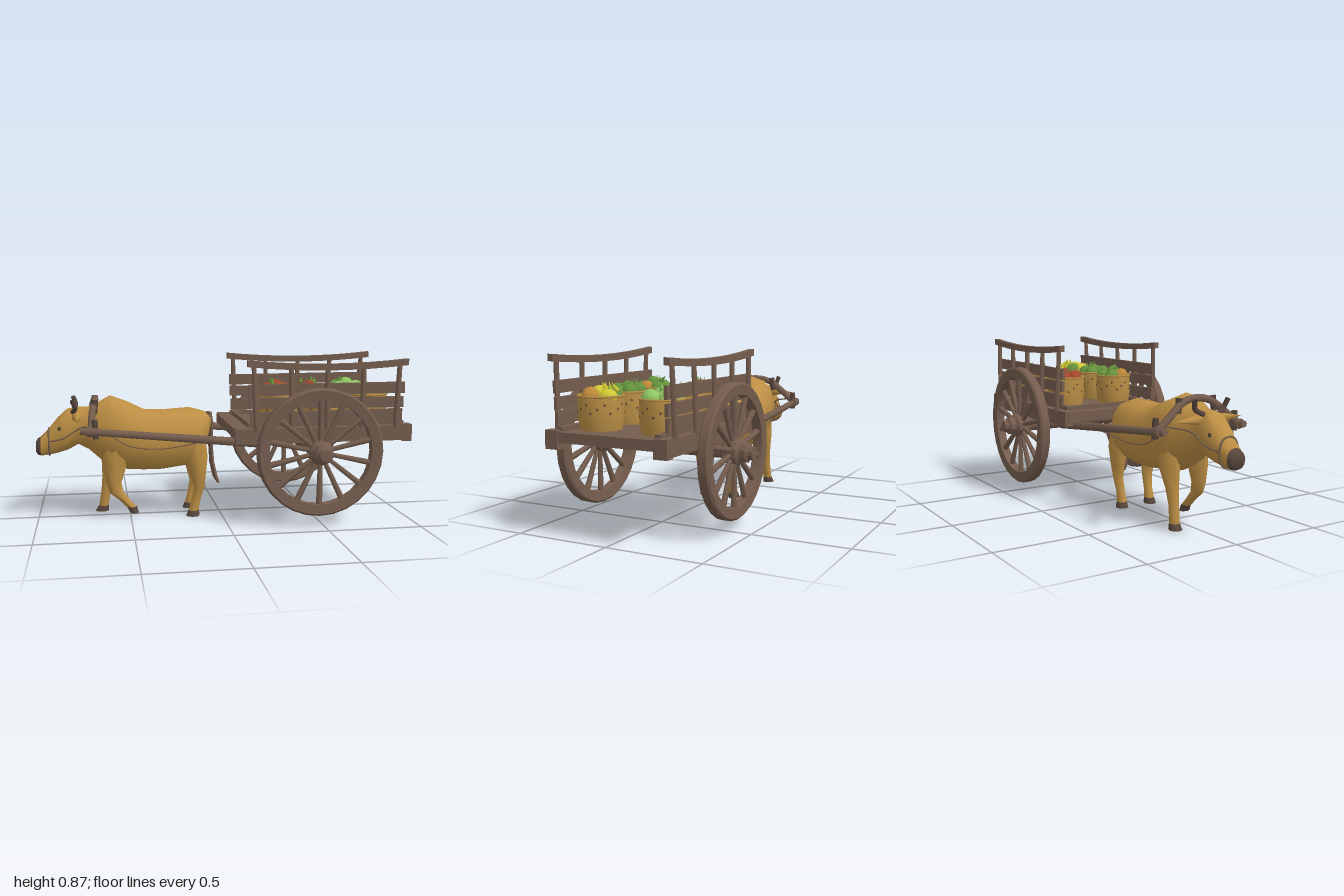
import * as THREE from 'three';
import { toCreasedNormals } from 'three/addons/utils/BufferGeometryUtils.js';

const V = (a) => new THREE.Vector3(...a);
const mat = (name, color) => {
  const m = new THREE.MeshStandardMaterial({ color, side: THREE.DoubleSide });
  m.name = name;
  return m;
};

export function createModel() {
  const wood = mat('wood', 0x755d4e), dark = mat('dark brown', 0x57463d), hide = mat('tan hide', 0xbd8f44);
  const wicker = mat('wicker', 0xb98e45), red = mat('red', 0xa2482f), green = mat('green', 0x66943d);
  const pale = mat('pale green', 0x92ca66), yellow = mat('yellow', 0xd3cb34), orange = mat('orange', 0xc08a3a);

  const model = new THREE.Group();
  const group = (name, parent = model) => {
    const g = new THREE.Group();
    g.name = name;
    parent.add(g);
    return g;
  };
  const add = (name, geo, material, parent, pos = [0, 0, 0]) => {
    const m = new THREE.Mesh(geo, material);
    m.name = name;
    m.position.set(...pos);
    parent.add(m);
    return m;
  };
  const box = (name, size, pos, parent) => add(name, new THREE.BoxGeometry(...size), wood, parent, pos);

  // Closed skin over a list of rings of points
  function loft(rings) {
    const n = rings[0].length, pos = [], idx = [];
    rings.forEach((r) => r.forEach((p) => pos.push(...p)));
    for (let i = 0; i < rings.length - 1; i++)
      for (let j = 0; j < n; j++) {
        const a = i * n + j, b = i * n + (j + 1) % n;
        idx.push(a, b, a + n, b, b + n, a + n);
      }
    [0, rings.length - 1].forEach((e, end) => {
      for (let j = 1; j < n - 1; j++) {
        const a = e * n, b = a + j, c = a + j + 1;
        idx.push(...(end ? [a, b, c] : [a, c, b]));
      }
    });
    // Turn all faces outward if the enclosed volume is negative
    const p = (k) => new THREE.Vector3().fromArray(pos, idx[k] * 3);
    let vol = 0;
    for (let k = 0; k < idx.length; k += 3) vol += p(k).dot(p(k + 1).cross(p(k + 2)));
    if (vol < 0) idx.reverse();
    const g = new THREE.BufferGeometry();
    g.setAttribute('position', new THREE.Float32BufferAttribute(pos, 3));
    g.setIndex(idx);
    return toCreasedNormals(g, 0.9);
  }
  const around = (n, f) => Array.from({ length: n }, (_, i) => f(Math.cos(i * 2 * Math.PI / n), Math.sin(i * 2 * Math.PI / n)));
  // Ring across x: [x, bottom, top, half width]; ring across y: [x, y, z, rx, rz]
  const ringX = ([x, lo, hi, w], s = 1) => around(12, (c, d) =>
    [x, (lo + hi) / 2 + d * s * (hi - lo) / 2, Math.sign(c) * Math.abs(c) ** 0.8 * w * s]);
  const ringY = ([x, y, z, rx, rz]) => around(8, (c, d) => [x + c * rx, y, z + d * rz]);
  const tube = (name, pts, r, material, parent, closed = false) =>
    add(name, new THREE.TubeGeometry(new THREE.CatmullRomCurve3(pts.map(V), closed), pts.length * 4, r, 7, closed), material, parent);
  // Straight pole between two points
  const pole = (name, a, b, r0, r1, material, parent, sides = 7) => {
    const d = V(b).sub(V(a));
    const m = add(name, new THREE.CylinderGeometry(r1, r0, d.length(), sides), material, parent);
    m.position.copy(V(a).addScaledVector(d, 0.5));
    m.quaternion.setFromUnitVectors(new THREE.Vector3(0, 1, 0), d.normalize());
  };

  // Ox: body, neck and head in one skin
  const ox = group('ox');
  const sections = [
    [-0.05, 0.48, 0.55, 0.035], [-0.08, 0.38, 0.57, 0.09], [-0.12, 0.30, 0.582, 0.135], [-0.17, 0.27, 0.595, 0.165],
    [-0.32, 0.25, 0.585, 0.167], [-0.42, 0.25, 0.59, 0.17], [-0.51, 0.255, 0.635, 0.165], [-0.60, 0.28, 0.668, 0.15],
    [-0.66, 0.32, 0.635, 0.125], [-0.72, 0.375, 0.61, 0.095], [-0.775, 0.405, 0.61, 0.07], [-0.83, 0.375, 0.60, 0.08],
    [-0.88, 0.36, 0.555, 0.072], [-0.93, 0.35, 0.495, 0.055], [-0.975, 0.345, 0.45, 0.05]];
  add('body', loft(sections.map((s) => ringX(s))), hide, ox);
  add('muzzle', loft([[-0.974, 0.345, 0.451, 0.05], [-0.99, 0.35, 0.44, 0.048], [-1, 0.365, 0.425, 0.035]].map((s) => ringX(s))), dark, ox);
  tube('noseBand', ringX(sections[13], 1.02), 0.005, wood, ox, true);
  for (const s of [1, -1]) {
    tube('horn', [[-0.80, 0.585, 0.045 * s], [-0.785, 0.61, 0.085 * s], [-0.80, 0.655, 0.10 * s]], 0.013, dark, ox);
    const ear = add('ear', new THREE.ConeGeometry(0.03, 0.16, 6), hide, ox, [-0.78, 0.56, 0.125 * s]);
    ear.rotation.x = s * Math.PI / 2;
    const eye = add('eye', new THREE.SphereGeometry(0.012, 8, 6), dark, ox, [-0.87, 0.50, 0.066 * s]);
    eye.scale.z = 0.5;
    tube('rein', [[-0.93, 0.43, 0.056 * s], [-0.85, 0.45, 0.081 * s], [-0.77, 0.50, 0.09 * s], [-0.70, 0.53, 0.20 * s]], 0.004, wood, ox);
    // Hind leg
    add('hindLeg', loft([[-0.15, 0.46, 0.095 * s, 0.06, 0.05], [-0.14, 0.33, 0.103 * s, 0.062, 0.05], [-0.13, 0.23, 0.10 * s, 0.042, 0.037],
      [-0.125, 0.16, 0.095 * s, 0.03, 0.027], [-0.145, 0.08, 0.09 * s, 0.025, 0.023], [-0.155, 0.03, 0.09 * s, 0.029, 0.027]].map(ringY)), hide, ox);
    add('hindHoof', loft([[-0.155, 0.031, 0.09 * s, 0.03, 0.028], [-0.16, 0, 0.092 * s, 0.037, 0.034]].map(ringY)), dark, ox);
  }
  // Planted and lifted front legs
  add('frontLegPlanted', loft([[-0.57, 0.42, -0.09, 0.075, 0.05], [-0.59, 0.30, -0.09, 0.062, 0.047], [-0.615, 0.20, -0.09, 0.035, 0.033],
    [-0.63, 0.12, -0.09, 0.027, 0.026], [-0.645, 0.03, -0.095, 0.026, 0.027]].map(ringY)), hide, ox);
  add('frontHoofPlanted', loft([[-0.645, 0.031, -0.095, 0.027, 0.028], [-0.655, 0, -0.097, 0.037, 0.034]].map(ringY)), dark, ox);
  add('frontLegLifted', loft([[-0.57, 0.42, 0.09, 0.075, 0.05], [-0.58, 0.30, 0.095, 0.062, 0.047], [-0.59, 0.20, 0.095, 0.04, 0.034],
    [-0.575, 0.145, 0.095, 0.038, 0.028], [-0.53, 0.10, 0.092, 0.028, 0.024], [-0.495, 0.062, 0.09, 0.027, 0.024]].map(ringY)), hide, ox);
  add('frontHoofLifted', loft([[-0.495, 0.065, 0.09, 0.028, 0.025], [-0.48, 0.03, 0.09, 0.022, 0.03]].map(ringY)), dark, ox);
  // Flat hanging tail
  add('tail', loft([[-0.06, 0.565, 0, 0.02, 0.03], [-0.045, 0.5, 0, 0.014, 0.035], [-0.047, 0.38, 0, 0.013, 0.033], [-0.04, 0.28, 0, 0.014, 0.032],
    [-0.022, 0.2, 0.005, 0.014, 0.028], [-0.005, 0.165, 0.015, 0.008, 0.015]].map(ringY)), wood, ox);

  // Yoke and shafts
  const harness = group('harness');
  tube('yoke', [[-0.70, 0.50, -0.25], [-0.70, 0.57, -0.17], [-0.685, 0.635, -0.08], [-0.68, 0.65, 0],
    [-0.685, 0.635, 0.08], [-0.70, 0.57, 0.17], [-0.70, 0.50, 0.25]], 0.019, wood, harness);
  for (const s of [1, -1]) {
    pole('shaft', [0.2, 0.425, 0.265 * s], [-0.76, 0.512, 0.24 * s], 0.024, 0.018, wood, harness);
    pole('yokePin', [-0.68, 0.47, 0.243 * s], [-0.685, 0.57, 0.24 * s], 0.016, 0.016, dark, harness);
    pole('shaftLashing', [-0.67, 0.505, 0.243 * s], [-0.73, 0.51, 0.242 * s], 0.027, 0.027, wood, harness);
    pole('yokePeg', [-0.685, 0.58, 0.11 * s], [-0.68, 0.655, 0.1 * s], 0.015, 0.018, dark, harness);
    tube('trace', [[-0.64, 0.50, 0.15 * s], [-0.52, 0.42, 0.172 * s], [-0.36, 0.395, 0.175 * s], [-0.2, 0.415, 0.19 * s], [-0.1, 0.45, 0.25 * s]], 0.003, wood, harness);
  }

  // Cart bed
  const cart = group('cart');
  box('floor', [0.9, 0.03, 0.56], [0.53, 0.495, 0], cart);
  box('frontBeam', [0.07, 0.052, 0.62], [0.07, 0.487, 0], cart);
  box('frontSill', [0.025, 0.03, 0.56], [0.13, 0.52, 0], cart);
  box('rearBeam', [0.045, 0.05, 0.62], [0.972, 0.488, 0], cart);
  for (const s of [1, -1]) {
    const rail = group(s > 0 ? 'leftRack' : 'rightRack', cart);
    box('sideBeam', [0.96, 0.08, 0.055], [0.52, 0.475, 0.3 * s], rail);
    box('beamEnd', [0.05, 0.09, 0.07], [0.975, 0.475, 0.295 * s], rail);
    box('innerSill', [0.86, 0.025, 0.03], [0.54, 0.522, 0.265 * s], rail);
    [[0.57, 0.064], [0.643, 0.058], [0.716, 0.06]].forEach(([y, h], i) => {
      const b = box('sideBoard', [0.83 + i * 0.01, h, 0.017], [0.535, y, 0.3 * s], rail);
      b.rotation.z = [0.006, -0.008, 0.004][i];
    });
    for (let i = 0; i < 5; i++) {
      const x = 0.15 + i * 0.19, lean = (i - 2) * 0.008;
      pole('post', [x, 0.5, 0.322 * s], [x + lean, 0.85, 0.312 * s], 0.016, 0.013, wood, rail, 6);
    }
    // Top rail sags a little in the middle
    const top = new THREE.BoxGeometry(0.87, 0.034, 0.03, 8, 1, 1), p = top.attributes.position;
    for (let i = 0; i < p.count; i++) p.setY(i, p.getY(i) + 0.12 * p.getX(i) ** 2);
    top.computeVertexNormals();
    add('topRail', top, wood, rail, [0.535, 0.832, 0.312 * s]);
  }

  // Axle and spoked wheels
  pole('axle', [0.47, 0.393, -0.36], [0.47, 0.393, 0.36], 0.037, 0.037, wood, cart, 8);
  for (const s of [1, -1]) {
    box('axleBlock', [0.09, 0.06, 0.06], [0.47, 0.445, 0.29 * s], cart);
    const wheel = group(s > 0 ? 'leftWheel' : 'rightWheel', cart);
    wheel.position.set(0.473, 0.395, 0.396 * s);
    const prof = [[0.327, -0.029], [0.337, -0.02], [0.337, 0.02], [0.327, 0.029], [0.276, 0.025], [0.276, -0.025], [0.327, -0.029]];
    const rim = new THREE.LatheGeometry(prof.map((q) => new THREE.Vector2(...q)), 28);
    add('rim', toCreasedNormals(rim, 0.6).rotateX(Math.PI / 2), wood, wheel);
    for (let i = 0; i < 14; i++) {
      const a = (i + 0.5) * Math.PI / 7, c = Math.cos(a), d = Math.sin(a);
      pole('spoke', [c * 0.04, d * 0.04, 0], [c * 0.285, d * 0.285, 0], 0.012, 0.017, wood, wheel, 6);
    }
    const hub = [[0, -0.055], [0.045, -0.055], [0.065, -0.035], [0.065, 0.03], [0.048, 0.045], [0.05, 0.075], [0.035, 0.085], [0.032, 0.105], [0, 0.107]];
    const hubGeo = toCreasedNormals(new THREE.LatheGeometry(hub.map((q) => new THREE.Vector2(...q)), 10), 0.6);
    add('hub', hubGeo.rotateX(s * Math.PI / 2), wood, wheel);
  }

  // Baskets of produce
  let seed = 7;
  const rand = () => (seed = (seed * 16807) % 2147483647) / 2147483647;
  const baskets = [
    [0.36, -0.15, 0.105, [red], green], [0.57, -0.19, 0.085, [red, green, dark], green], [0.79, -0.18, 0.105, [pale], green],
    [0.32, 0.15, 0.1, [green, green, orange], green], [0.56, 0.16, 0.098, [green], green], [0.80, 0.15, 0.11, [yellow, orange, yellow, green], yellow]];
  for (const [x, z, r, colours, leafColour] of baskets) {
    const b = group('basket', cart);
    b.position.set(x, 0.51, z);
    const wall = [[0, 0], [0.92, 0], [1, 0.05], [1.02, 0.11], [1, 0.165], [0.92, 0.165], [0.9, 0.13], [0, 0.13]];
    const lathe = new THREE.LatheGeometry(wall.map(([k, y]) => new THREE.Vector2(k * r, y)), 16);
    add('wickerWall', toCreasedNormals(lathe, 0.7), wicker, b);
    add('rim', new THREE.TorusGeometry(r, 0.006, 6, 18).rotateX(Math.PI / 2), wicker, b, [0, 0.162, 0]);
    // Dark gaps in the weave
    for (let i = 0; i < 22; i++) {
      const a = i * Math.PI / 11 + rand() * 0.1, k = r * 1.005;
      const gap = add('weaveGap', new THREE.CircleGeometry(0.009, 3), dark, b, [Math.sin(a) * k * 1.02, 0.085 + (i % 3) * 0.02, Math.cos(a) * k * 1.02]);
      gap.rotation.y = a;
    }
    for (let i = 0; i < 6; i++) {
      const k = i ? r * 0.55 : 0, a = i * Math.PI * 2 / 5 + rand() * 0.4;
      const f = add('produce', new THREE.IcosahedronGeometry(r * 0.42, 1), colours[i % colours.length], b,
        [Math.cos(a) * k, (i ? 0.148 : 0.162) + rand() * 0.012, Math.sin(a) * k]);
      f.rotation.set(rand() * 3, rand() * 3, 0);
      f.scale.y = 1.15;
    }
    for (let i = 0; i < 4; i++) {
      const a = rand() * 6.28, k = r * (0.2 + 0.5 * rand());
      const leaf = add('leaf', new THREE.ConeGeometry(0.02, 0.055, 4), leafColour, b, [Math.cos(a) * k, 0.203, Math.sin(a) * k]);
      leaf.rotation.set(rand() - 0.5, a, rand() - 0.5);
      leaf.scale.z = 0.4;
    }
  }
  return model;
}
